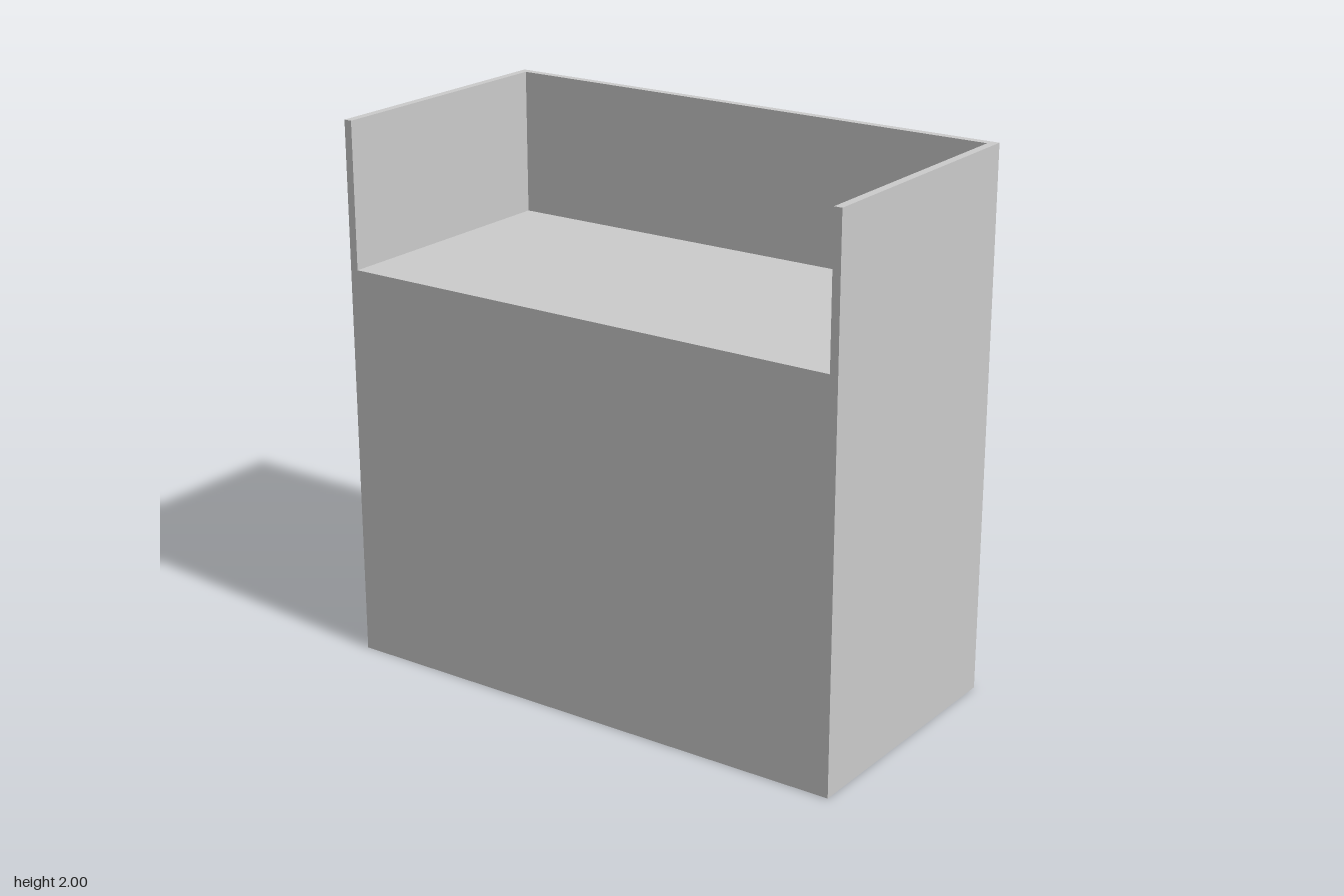
import * as THREE from 'three';

const WIDTH = 2, HEIGHT = 2, DEPTH = 1;
const WALL = 0.03;      // thickness of the raised surround
const COUNTER = 1.465;  // height of the solid body

export function createModel() {
  const group = new THREE.Group();
  const grey = new THREE.MeshStandardMaterial({ color: 0xcccccc });
  grey.name = 'light grey';

  // Solid body up to the counter
  const body = new THREE.Mesh(new THREE.BoxGeometry(WIDTH, COUNTER, DEPTH), grey);
  body.name = 'body';
  body.position.y = COUNTER / 2;
  group.add(body);

  // U-shaped surround in plan, open at the front (shape y becomes -z)
  const x = WIDTH / 2, z = DEPTH / 2;
  const plan = new THREE.Shape([
    [-x, -z], [-x + WALL, -z], [-x + WALL, z - WALL], [x - WALL, z - WALL],
    [x - WALL, -z], [x, -z], [x, z], [-x, z],
  ].map(([px, py]) => new THREE.Vector2(px, py)));
  const wall = new THREE.ExtrudeGeometry(plan, { depth: HEIGHT - COUNTER, bevelEnabled: false });
  wall.rotateX(-Math.PI / 2);
  const surround = new THREE.Mesh(wall, grey);
  surround.name = 'surroundWall';
  surround.position.y = COUNTER;
  group.add(surround);

  return group;
}
